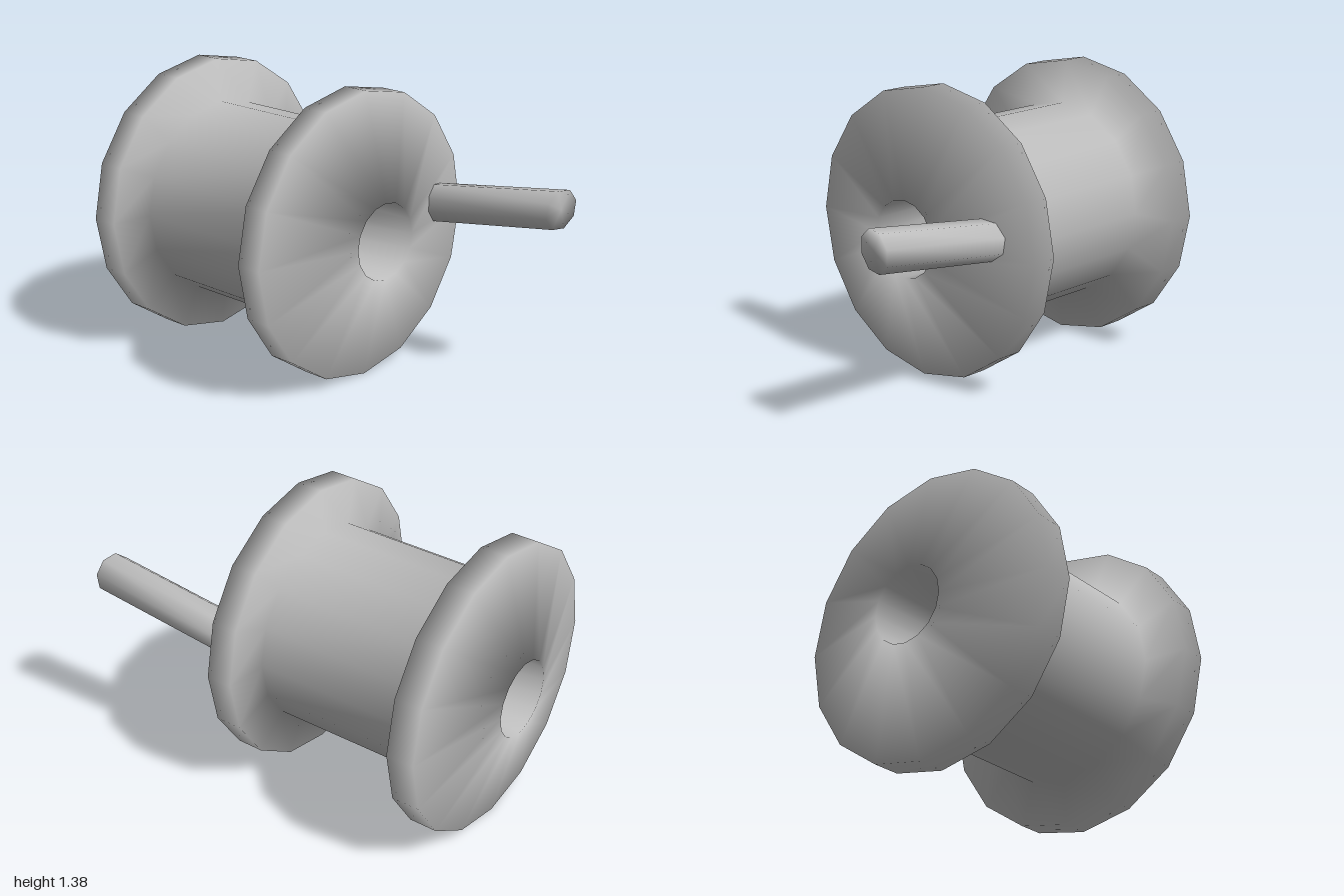
import * as THREE from 'three';
import { mergeVertices } from 'three/addons/utils/BufferGeometryUtils.js';

export function createModel() {
  const group = new THREE.Group();
  const metal = new THREE.MeshStandardMaterial({ color: 0xbcbcbc });
  metal.name = 'grey metal';

  // Spool: two tapered flanges, a drum and a through hole; pairs are [radius, x]
  const profile = [
    [0.185, -0.32], [0.185, -1], [0.69, -0.88], [0.69, -0.745],
    [0.48, -0.728], [0.48, 0.09],
    [0.69, 0.105], [0.69, 0.235], [0.185, 0.36], [0.185, -0.32],
  ].map(([r, x]) => new THREE.Vector2(r, x));
  const spoolGeometry = new THREE.LatheGeometry(profile, 16);
  spoolGeometry.rotateZ(-Math.PI / 2);
  const spool = new THREE.Mesh(spoolGeometry, metal);
  spool.name = 'spool';
  spool.position.y = 0.69;
  group.add(spool);

  // Crank handle: eight-sided rod, leaning up and back, with a slanted end
  let rod = new THREE.CylinderGeometry(0.098, 0.098, 1, 8, 1, false, THREE.MathUtils.degToRad(17));
  rod.deleteAttribute('uv');
  rod.deleteAttribute('normal');
  const p = rod.attributes.position;
  for (let i = 0; i < p.count; i++) {
    const dz = p.getX(i), dy = p.getZ(i), u = p.getY(i) + 0.5;
    const along = THREE.MathUtils.lerp(0.24, 0.985, u);
    p.setXYZ(
      i,
      along - 0.137 * dz + 0.05 * dy,
      0.775 + 0.149 * (along - 0.36) + dy,
      -0.453 - 0.046 * (along - 0.285) + dz,
    );
  }
  rod = mergeVertices(rod, 1e-4);
  rod.computeVertexNormals();
  const handle = new THREE.Mesh(rod, metal);
  handle.name = 'handle';
  group.add(handle);

  return group;
}
